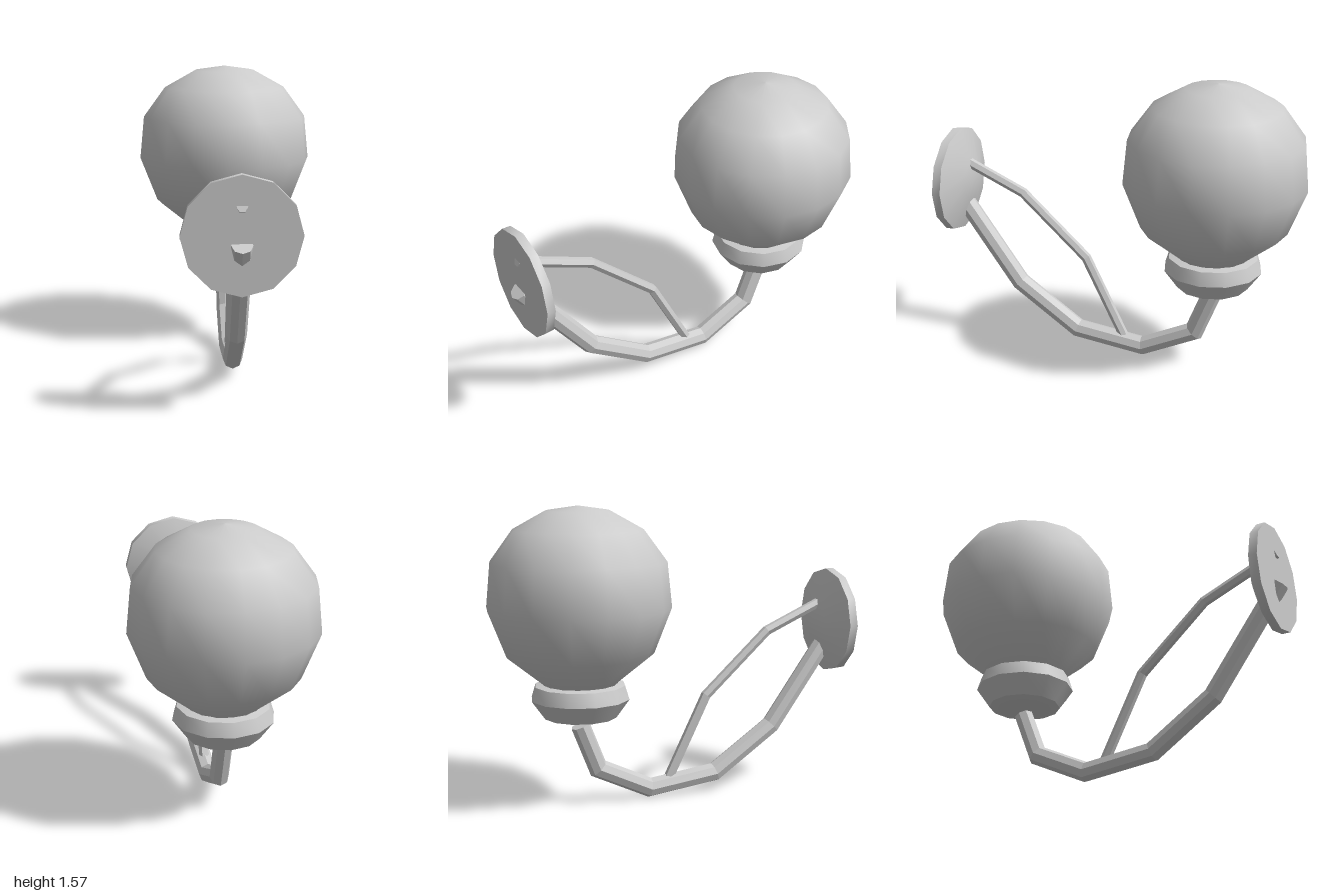
import * as THREE from 'three';
import { toCreasedNormals } from 'three/addons/utils/BufferGeometryUtils.js';

const smooth = new THREE.MeshStandardMaterial({ color: 0xcccccc, side: THREE.DoubleSide });
const faceted = new THREE.MeshStandardMaterial({ color: 0xcccccc, flatShading: true });

// Turned part from [radius, height] pairs, bottom to top
function turned(name, profile, sides, crease) {
  let geo = new THREE.LatheGeometry(profile.map(([r, y]) => new THREE.Vector2(r, y)), sides);
  if (crease) geo = toCreasedNormals(geo, crease);
  const mesh = new THREE.Mesh(geo, smooth);
  mesh.name = name;
  return mesh;
}

// Capped bar with mitred bends along [z, y] points in the x = 0 plane
function bentBar(name, path, radius, sides) {
  const pts = path.map(([z, y]) => new THREE.Vector3(0, y, z));
  const dirs = pts.slice(1).map((p, i) => p.clone().sub(pts[i]).normalize());
  const pos = [], index = [];
  pts.forEach((p, i) => {
    const a = dirs[Math.max(i - 1, 0)], b = dirs[Math.min(i, dirs.length - 1)];
    const t = a.clone().add(b).normalize();
    const mitre = 1 / t.dot(a);
    for (let j = 0; j < sides; j++) {
      const ang = (j / sides) * Math.PI * 2;
      const n = Math.sin(ang) * radius * mitre;
      pos.push(Math.cos(ang) * radius, p.y + n * t.z, p.z - n * t.y);
    }
  });
  const last = (pts.length - 1) * sides;
  for (let j = 0; j < sides; j++) {
    const k = (j + 1) % sides;
    for (let r = 0; r < last; r += sides) {
      index.push(r + j, r + k, r + sides + j, r + k, r + sides + k, r + sides + j);
    }
    if (j > 0 && k > 0) index.push(0, k, j, last, last + j, last + k);
  }
  const geo = new THREE.BufferGeometry();
  geo.setAttribute('position', new THREE.Float32BufferAttribute(pos, 3));
  geo.setIndex(index);
  geo.computeVertexNormals();
  const mesh = new THREE.Mesh(geo, faceted);
  mesh.name = name;
  return mesh;
}

export function createModel() {
  const lamp = new THREE.Group();
  lamp.name = 'wallLamp';

  // Globe and its holder
  const globe = turned('globe', [
    [0.18, 0.64], [0.2, 0.67], [0.385, 0.82], [0.478, 1.06],
    [0.455, 1.295], [0.335, 1.46], [0.165, 1.555], [0, 1.58],
  ], 16);
  const holder = turned('globeHolder', [
    [0, 0.44], [0.19, 0.485], [0.26, 0.583], [0.238, 0.655], [0.19, 0.665], [0.17, 0.65],
  ], 12, 0.55);
  globe.position.z = holder.position.z = -0.523;

  // Round wall plate, domed towards the globe and flat on the wall side
  const plate = turned('wallPlate', [
    [0, 0.845], [0.11, 0.85], [0.285, 0.91], [0.285, 0.955], [0, 0.955],
  ], 12, 0.6);
  plate.rotation.x = Math.PI / 2;
  plate.position.y = 0.915;

  // Curved main arm and thinner brace
  const arm = bentBar('arm', [
    [0.962, 0.875], [0.58, 0.34], [0.24, 0.105], [-0.14, 0.058], [-0.43, 0.195], [-0.525, 0.437],
  ], 0.051, 8);
  const brace = bentBar('brace', [
    [0.957, 1.053], [0.55, 0.873], [0.188, 0.54], [-0.035, 0.09],
  ], 0.027, 6);

  lamp.add(globe, holder, plate, arm, brace);
  return lamp;
}
